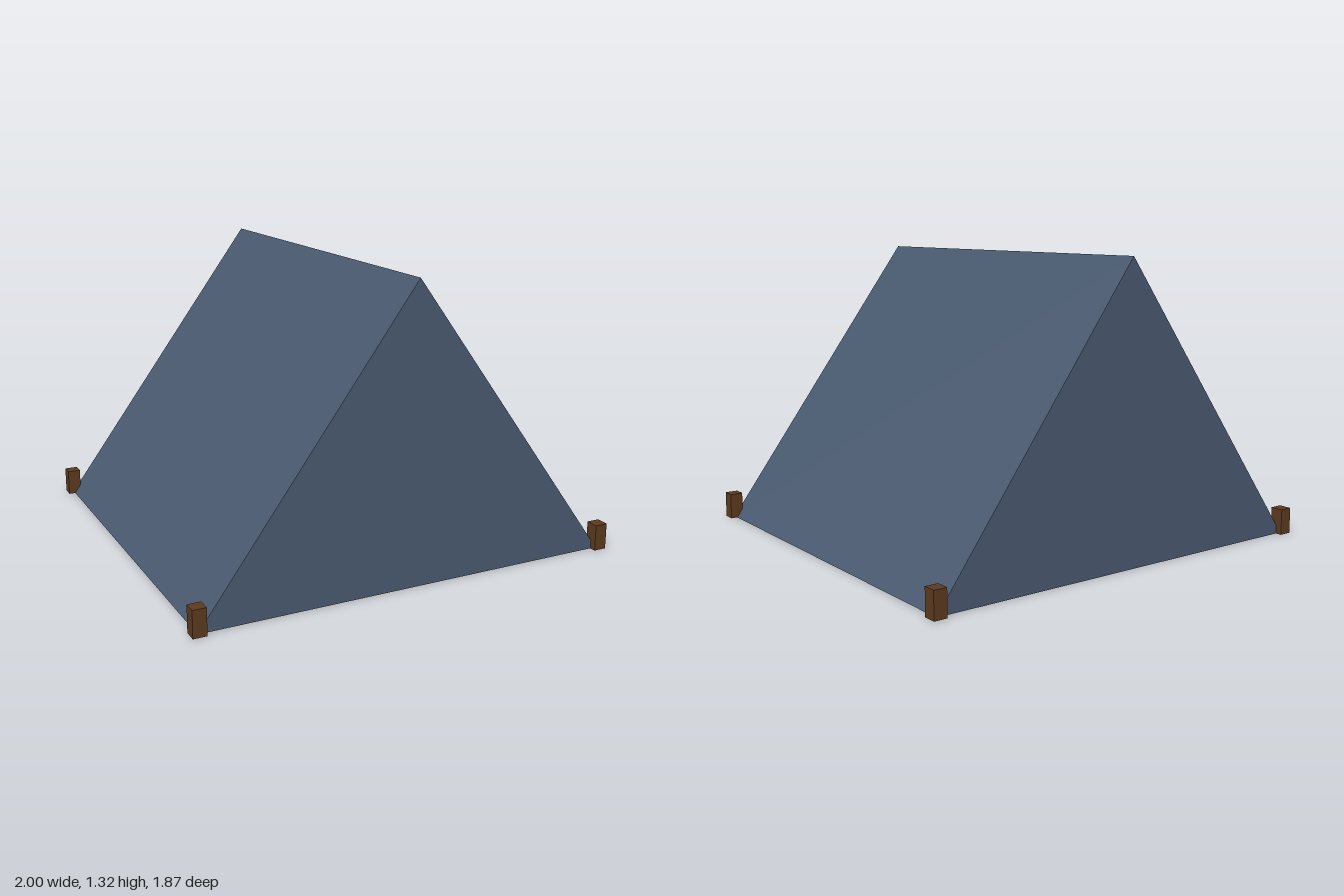
import * as THREE from 'three';

const W = 0.97, H = 1.315, D = 0.905; // half width, ridge height, half depth

// Flat panel from a convex outline, counter-clockwise seen from outside
function panel(name, points, material) {
  const triangles = [];
  for (let i = 1; i < points.length - 1; i++) {
    triangles.push(...points[0], ...points[i], ...points[i + 1]);
  }
  const geometry = new THREE.BufferGeometry();
  geometry.setAttribute('position', new THREE.Float32BufferAttribute(triangles, 3));
  geometry.computeVertexNormals();
  const mesh = new THREE.Mesh(geometry, material);
  mesh.name = name;
  return mesh;
}

export function createModel() {
  const model = new THREE.Group();
  model.name = 'tent';

  const canvas = new THREE.MeshStandardMaterial({ color: 0x4a5a70, side: THREE.DoubleSide });
  canvas.name = 'blue grey canvas';
  const wood = new THREE.MeshStandardMaterial({ color: 0x5c3a1e });
  wood.name = 'brown wood';

  // Canvas: two slopes and two closed ends, open underneath
  model.add(
    panel('leftSlope', [[W, 0, D], [W, 0, -D], [0, H, -D], [0, H, D]], canvas),
    panel('rightSlope', [[-W, 0, -D], [-W, 0, D], [0, H, D], [0, H, -D]], canvas),
    panel('frontPanel', [[-W, 0, D], [W, 0, D], [0, H, D]], canvas),
    panel('backPanel', [[W, 0, -D], [-W, 0, -D], [0, H, -D]], canvas),
  );

  // Pegs at the four corners
  const pegGeometry = new THREE.BoxGeometry(0.06, 0.12, 0.06);
  for (const x of [-1, 1]) {
    for (const z of [-1, 1]) {
      const peg = new THREE.Mesh(pegGeometry, wood);
      peg.name = `${z > 0 ? 'front' : 'back'}${x > 0 ? 'Left' : 'Right'}Peg`;
      peg.position.set(x * W, 0.06, z * D);
      model.add(peg);
    }
  }
  return model;
}
